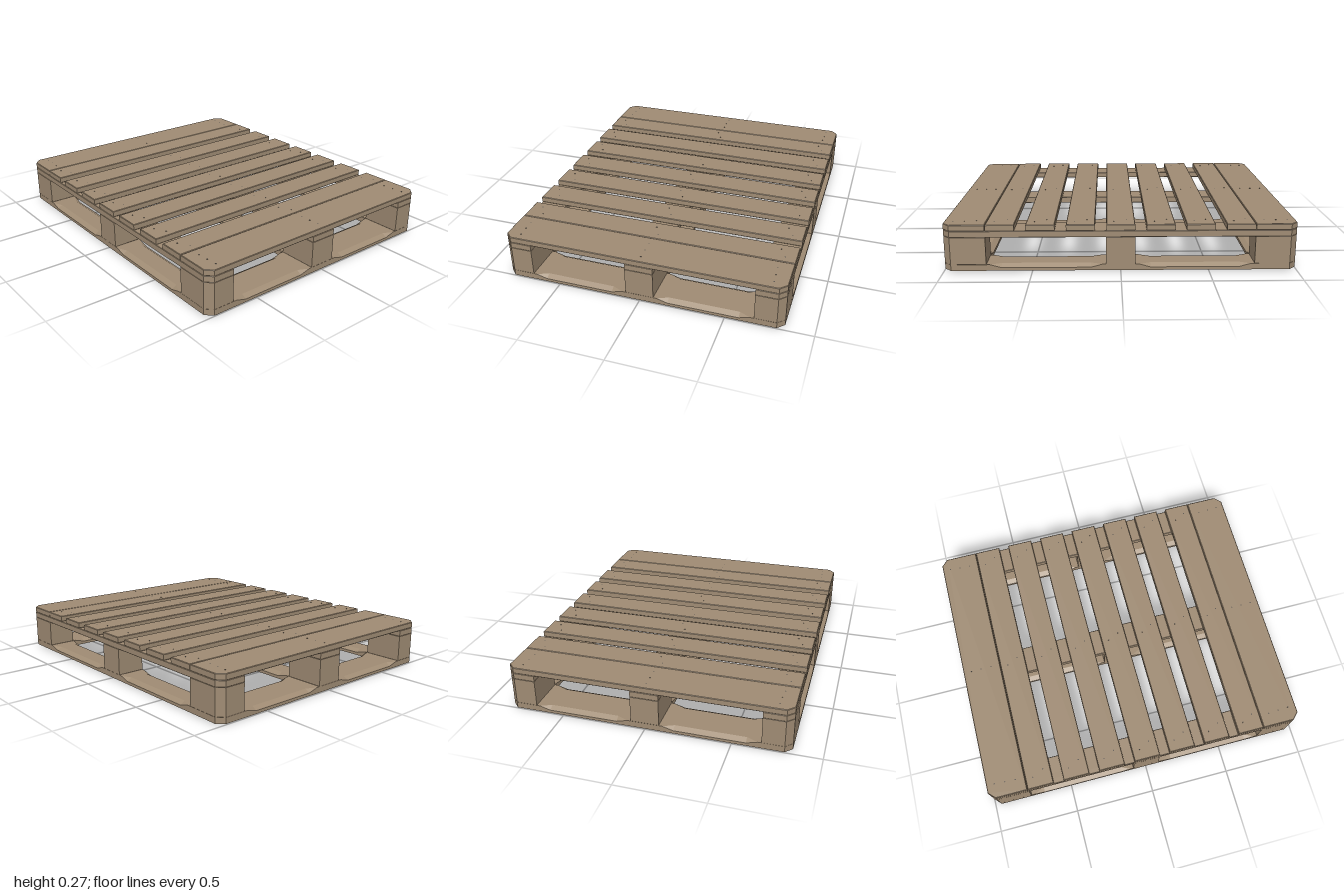
import * as THREE from 'three';
import { mergeGeometries } from 'three/addons/utils/BufferGeometryUtils.js';

const HX = 0.833, HZ = 1, CUT = 0.04;          // half sizes and corner cut
const Y = [0.004, 0.04, 0.2, 0.237, 0.273];    // layer heights
const BLOCK = 0.167, END = 0.24;               // block width, end board width

export function createModel() {
  const pallet = new THREE.Group();
  pallet.name = 'pallet';
  const wood = new THREE.MeshStandardMaterial({ color: 0xa08c74 });
  wood.name = 'wood';
  const steel = new THREE.MeshStandardMaterial({ color: 0x5c5650 });
  steel.name = 'nailSteel';

  const add = (name, geometry, material = wood) => {
    const mesh = new THREE.Mesh(geometry, material);
    mesh.name = name;
    pallet.add(mesh);
    return mesh;
  };

  // Board or block with slightly broken edges; pallet corners are cut off
  function slab(name, x0, x1, z0, z1, y0, y1, bevel) {
    const pts = [];
    for (const [x, z, xFirst] of [[x0, z0, false], [x1, z0, true], [x1, z1, false], [x0, z1, true]]) {
      if (Math.abs(x) > HX - 0.001 && Math.abs(z) > HZ - 0.001) {
        const onZ = new THREE.Vector2(x - Math.sign(x) * CUT, -z);
        const onX = new THREE.Vector2(x, -(z - Math.sign(z) * CUT));
        pts.push(...(xFirst ? [onZ, onX] : [onX, onZ]));
      } else pts.push(new THREE.Vector2(x, -z));
    }
    const geometry = new THREE.ExtrudeGeometry(new THREE.Shape(pts), {
      depth: y1 - y0 - 2 * bevel, bevelEnabled: true, bevelSize: bevel,
      bevelThickness: bevel, bevelOffset: -bevel, bevelSegments: 1,
    });
    geometry.rotateX(-Math.PI / 2).translate(0, y0 + bevel, 0);
    return add(name, geometry);
  }

  // Bottom board lofted along z; stations are [position, chamfer 0..1, outer inset]
  function bottomBoard(width, stations) {
    const w = width / 2, b = Y[0], t = Y[1];
    const rings = stations.map(([u, c, inset]) => {
      const r = w - inset, drop = c * 0.018, back = c * 0.03;
      return [[-w, b], [r, b], [r, t - drop], [r - back, t], [-w + back, t], [-w, t - drop]]
        .map(([x, y]) => [x, y, u]);
    });
    const out = [];
    const tri = (...corners) => corners.forEach((p) => out.push(...p));
    for (let i = 0; i < rings.length - 1; i++) {
      const a = rings[i], d = rings[i + 1];
      for (let j = 0; j < 6; j++) {
        const k = (j + 1) % 6;
        tri(a[j], a[k], d[k]);
        tri(a[j], d[k], d[j]);
      }
    }
    const first = rings[0], last = rings[rings.length - 1];
    for (let j = 1; j < 5; j++) {
      tri(first[0], first[j + 1], first[j]);
      tri(last[0], last[j], last[j + 1]);
    }
    const geometry = new THREE.BufferGeometry();
    geometry.setAttribute('position', new THREE.Float32BufferAttribute(out, 3));
    geometry.computeVertexNormals();
    return geometry;
  }

  // Chamfered stretch between two blocks
  const span = (a, b) => [[a + 0.02, 0, 0], [a + 0.085, 1, 0], [b - 0.085, 1, 0], [b - 0.02, 0, 0]];

  // Deck boards: wide ends, a close neighbour, then evenly spaced slats
  for (const s of [-1, 1]) {
    const edges = [s * HZ, s * (HZ - END + 0.002)].sort((a, b) => a - b);
    slab('deckEndBoard', -HX, HX, ...edges, Y[3], Y[4], 0.003);
  }
  const slats = [-0.678, -0.452, -0.226, 0, 0.226, 0.452, 0.678];
  for (const z of slats) slab('deckSlat', -HX, HX, z - 0.081, z + 0.081, Y[3], Y[4], 0.003);

  // Three stringers over nine blocks
  const columns = [[-HX, -HX + BLOCK], [-BLOCK / 2, BLOCK / 2], [HX - BLOCK, HX]];
  const rows = [[-HZ, -HZ + END], [-BLOCK / 2, BLOCK / 2], [HZ - END, HZ]];
  for (const [x0, x1] of columns) {
    slab('stringer', x0, x1, -HZ, HZ, Y[2], Y[3], 0.002);
    for (const [z0, z1] of rows) slab('block', x0, x1, z0, z1, Y[1], Y[2], 0.001);
  }

  // Bottom runners along z
  const inner = HZ - END, half = BLOCK / 2, gap = HX - BLOCK;
  for (const x of [-HX + half, 0, HX - half]) {
    const geometry = bottomBoard(BLOCK,
      [[-inner, 0, 0], ...span(-inner, -half), ...span(half, inner), [inner, 0, 0]]);
    add('bottomRunner', geometry).position.x = x;
  }

  // Bottom end boards across x, with cut outer corners
  for (const s of [-1, 1]) {
    const geometry = bottomBoard(END, [[-HX, 0, CUT], [-HX + CUT, 0, 0],
      ...span(-gap, -half), ...span(half, gap), [HX - CUT, 0, 0], [HX, 0, CUT]]);
    const board = add('bottomEndBoard', geometry);
    board.rotation.y = -s * Math.PI / 2;
    board.position.z = s * (HZ - END / 2);
  }

  // Nail heads on the deck and under the blocks
  const heads = [];
  const nail = (x, y, z) =>
    heads.push(new THREE.CylinderGeometry(0.004, 0.004, 0.004, 8).translate(x, y, z));
  for (const x of [-0.75, 0, 0.75]) {
    for (const s of [-1, 1]) {
      [0.82, 0.885, 0.95].forEach((z, i) => {
        const shift = x === 0 ? 0 : (i - 1) * 0.004;
        nail(x + shift, Y[4] - 0.001, s * z);
        nail(x + (i - 1) * 0.03, 0.002, s * (0.86 + i * 0.045));
      });
    }
    for (const z of slats) for (const d of [-0.035, 0.035]) nail(x + d * 0.5, Y[4] - 0.001, z + d);
    for (const d of [-0.03, 0.03]) nail(x + d, 0.002, d);
  }
  add('nailHeads', mergeGeometries(heads), steel);

  return pallet;
}
